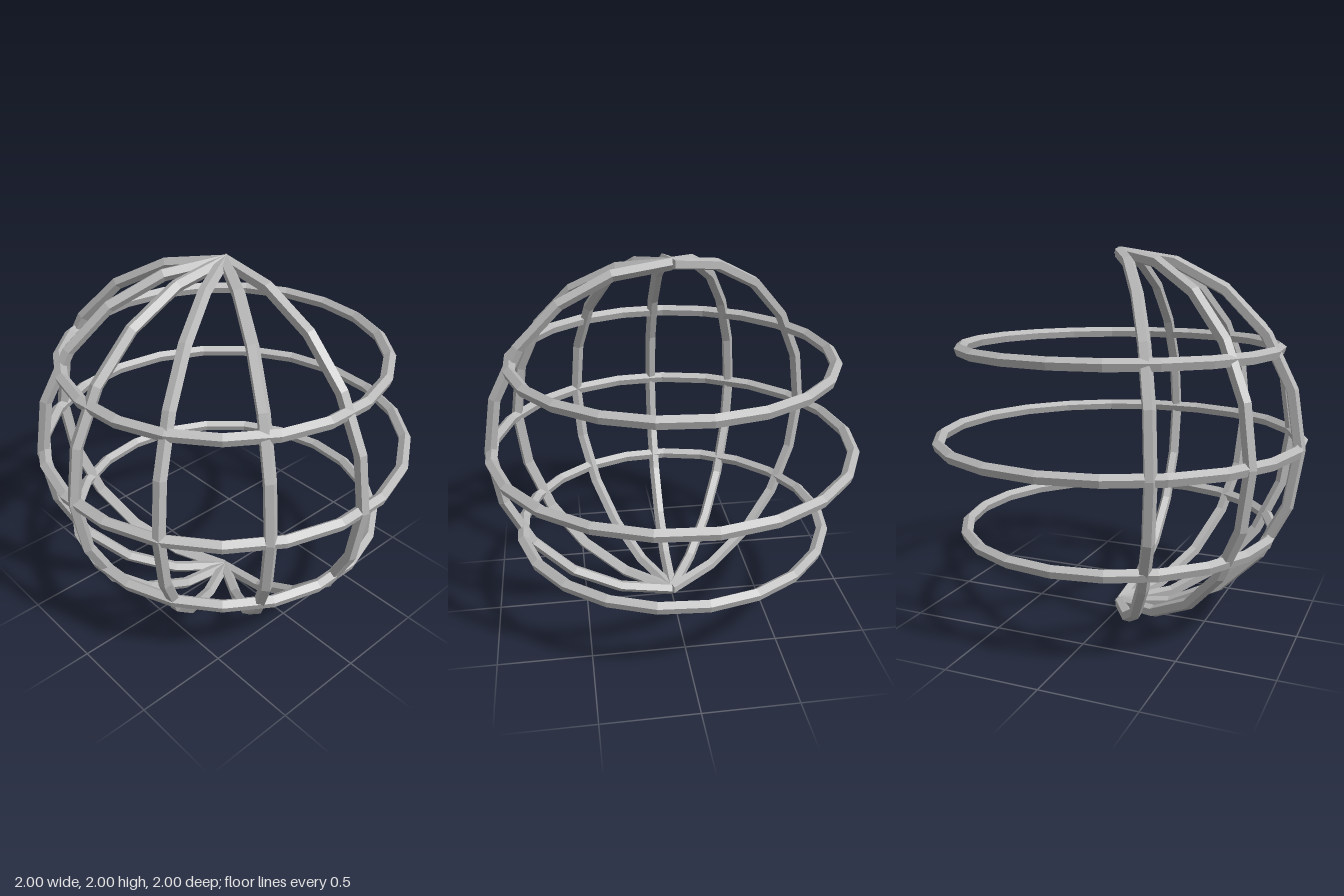
import * as THREE from 'three';
import { mergeGeometries } from 'three/addons/utils/BufferGeometryUtils.js';

const R = 0.968; // centreline radius of the globe
const BAR = 0.033; // bar radius
const SIDES = 5;

// Five-sided bar swept round the y axis, one edge pointing up
function sweptBar(radius, segments, start, length) {
  const profile = [];
  for (let i = 0; i <= SIDES; i++) {
    const a = Math.PI / 2 + (i / SIDES) * Math.PI * 2;
    profile.push(new THREE.Vector2(radius + BAR * Math.cos(a), BAR * Math.sin(a)));
  }
  return new THREE.LatheGeometry(profile, segments, start, length);
}

export function createModel() {
  const model = new THREE.Group();
  model.name = 'wireGlobe';
  const grey = new THREE.MeshStandardMaterial({ color: 0xb8b8b8, flatShading: true });
  grey.name = 'grey';

  // Horizontal rings at latitudes -30, 0 and 30 degrees
  const ringNames = ['lowerRing', 'equatorRing', 'upperRing'];
  ringNames.forEach((name, i) => {
    const lat = ((i - 1) * Math.PI) / 6;
    const ring = new THREE.Mesh(sweptBar(R * Math.cos(lat), 21, -Math.PI / 2, Math.PI * 2), grey);
    ring.name = name;
    ring.position.y = 1 + R * Math.sin(lat);
    model.add(ring);
  });

  // Half-circle rib with capped ends, stood upright towards +x
  const caps = [R, -R].map((z) =>
    new THREE.CircleGeometry(BAR, SIDES, Math.PI / 2).rotateY(-Math.PI / 2).translate(0, 0, z));
  const rib = mergeGeometries([sweptBar(R, 10, 0, Math.PI), ...caps]).rotateX(-Math.PI / 2);

  // Six ribs fanned over the front half
  for (let i = 0; i < 6; i++) {
    const meridian = new THREE.Mesh(rib, grey);
    meridian.name = `verticalRib${i + 1}`;
    meridian.position.y = 1;
    meridian.rotation.y = (-i * Math.PI) / 6;
    model.add(meridian);
  }
  return model;
}
